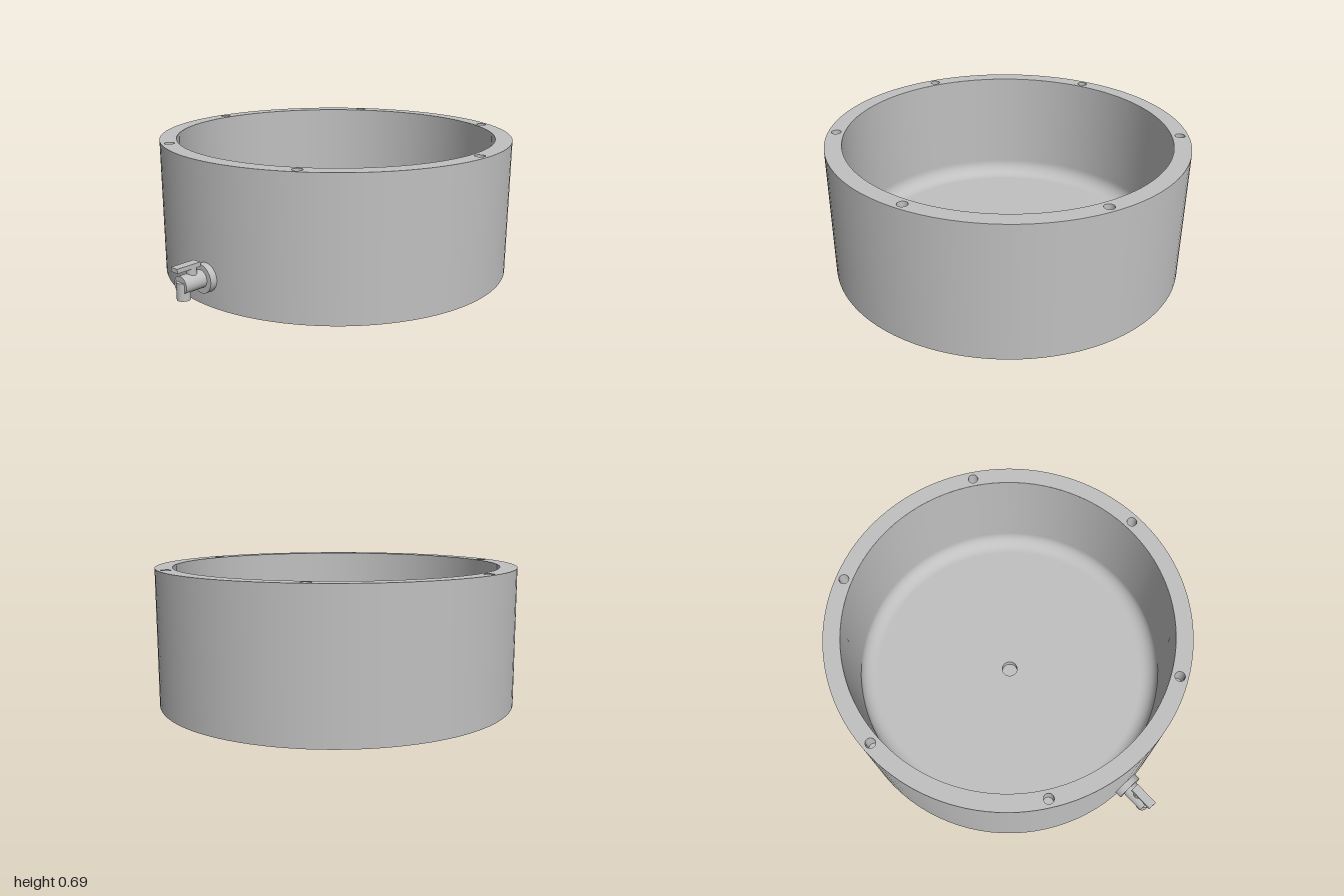
import * as THREE from 'three';

const metal = new THREE.MeshStandardMaterial({ color: 0xc0c0c0 });
metal.name = 'grey metal';

const R = 0.91, INNER = 0.825, H = 0.69, FLOOR = 0.07, FILLET = 0.08, SEG = 96;

function add(parent, name, geometry, x = 0, y = 0, z = 0) {
  const mesh = new THREE.Mesh(geometry, metal);
  mesh.name = name;
  mesh.position.set(x, y, z);
  parent.add(mesh);
  return mesh;
}

function lathe(points) {
  return new THREE.LatheGeometry(points.map(([r, y]) => new THREE.Vector2(r, y)), SEG);
}

// Flat disc or ring with round openings, lying level and facing up
function plate(outer, openings) {
  const shape = new THREE.Shape().absarc(0, 0, outer, 0, Math.PI * 2);
  for (const [x, z, r] of openings) {
    shape.holes.push(new THREE.Path().absarc(x, -z, r, 0, Math.PI * 2, true));
  }
  return new THREE.ShapeGeometry(shape, SEG).rotateX(-Math.PI / 2);
}

// Blind hole going down from y = 0: inward-facing wall and a flat end
function blindHole(r, depth) {
  return lathe([[r, 0], [r, -depth]]);
}

// Six evenly spaced positions on a circle
function sixAround(radius) {
  return Array.from({ length: 6 }, (_, i) => {
    const a = (i * Math.PI) / 3;
    return [radius * Math.cos(a), radius * Math.sin(a)];
  });
}

function buildTank() {
  const tank = new THREE.Group();
  tank.name = 'tank';
  tank.position.z = -0.09;

  add(tank, 'outerWall', lathe([[R, 0], [R, H]]));

  // Inner wall running into the rounded floor corner
  const inside = [[INNER, H], [INNER, FLOOR + FILLET + 0.005]];
  for (let i = 0; i <= 12; i++) {
    const a = (i / 12) * Math.PI / 2;
    inside.push([INNER - FILLET * (1 - Math.cos(a)), FLOOR + FILLET * (1 - Math.sin(a))]);
  }
  add(tank, 'innerWall', lathe(inside));

  // Floor with central drain recess
  add(tank, 'floor', plate(INNER - FILLET, [[0, 0, 0.042]]), 0, FLOOR);
  add(tank, 'drainWall', blindHole(0.042, 0.04), 0, FLOOR);
  add(tank, 'drainEnd', plate(0.042, []), 0, FLOOR - 0.04);

  // Rim with bolt holes
  const bolts = sixAround(0.868);
  add(tank, 'rim', plate(R, [[0, 0, INNER], ...bolts.map(([x, z]) => [x, z, 0.025])]), 0, H);
  for (const [x, z] of bolts) {
    add(tank, 'boltHoleWall', blindHole(0.025, 0.1), x, H, z);
    add(tank, 'boltHoleEnd', plate(0.025, []), x, H - 0.1, z);
  }

  // Underside with small pilot holes
  const pilots = sixAround(0.79);
  const underside = plate(R, pilots.map(([x, z]) => [x, z, 0.008]));
  add(tank, 'underside', underside.rotateX(Math.PI));
  for (const [x, z] of pilots) {
    add(tank, 'pilotHoleWall', blindHole(0.008, 0.03).rotateX(Math.PI), x, 0, z);
    add(tank, 'pilotHoleEnd', plate(0.008, []).rotateX(Math.PI), x, 0.03, z);
  }
  return tank;
}

function buildTap() {
  const tap = new THREE.Group();
  tap.name = 'tap';
  const rod = (r, length) => new THREE.CylinderGeometry(r, r, length, 40);

  add(tap, 'flange', rod(0.07, 0.053).rotateX(Math.PI / 2), 0, 0.143, 0.8265);
  add(tap, 'tapBody', rod(0.043, 0.12).rotateX(Math.PI / 2), 0, 0.145, 0.91);
  add(tap, 'spout', rod(0.032, 0.085), 0, 0.1175, 0.954);
  add(tap, 'handleStem', rod(0.024, 0.05), 0, 0.192, 0.904);
  add(tap, 'handle', new THREE.BoxGeometry(0.045, 0.021, 0.13), 0, 0.225, 0.935);
  return tap;
}

export function createModel() {
  const model = new THREE.Group();
  model.name = 'tankWithTap';
  model.add(buildTank(), buildTap());
  return model;
}
